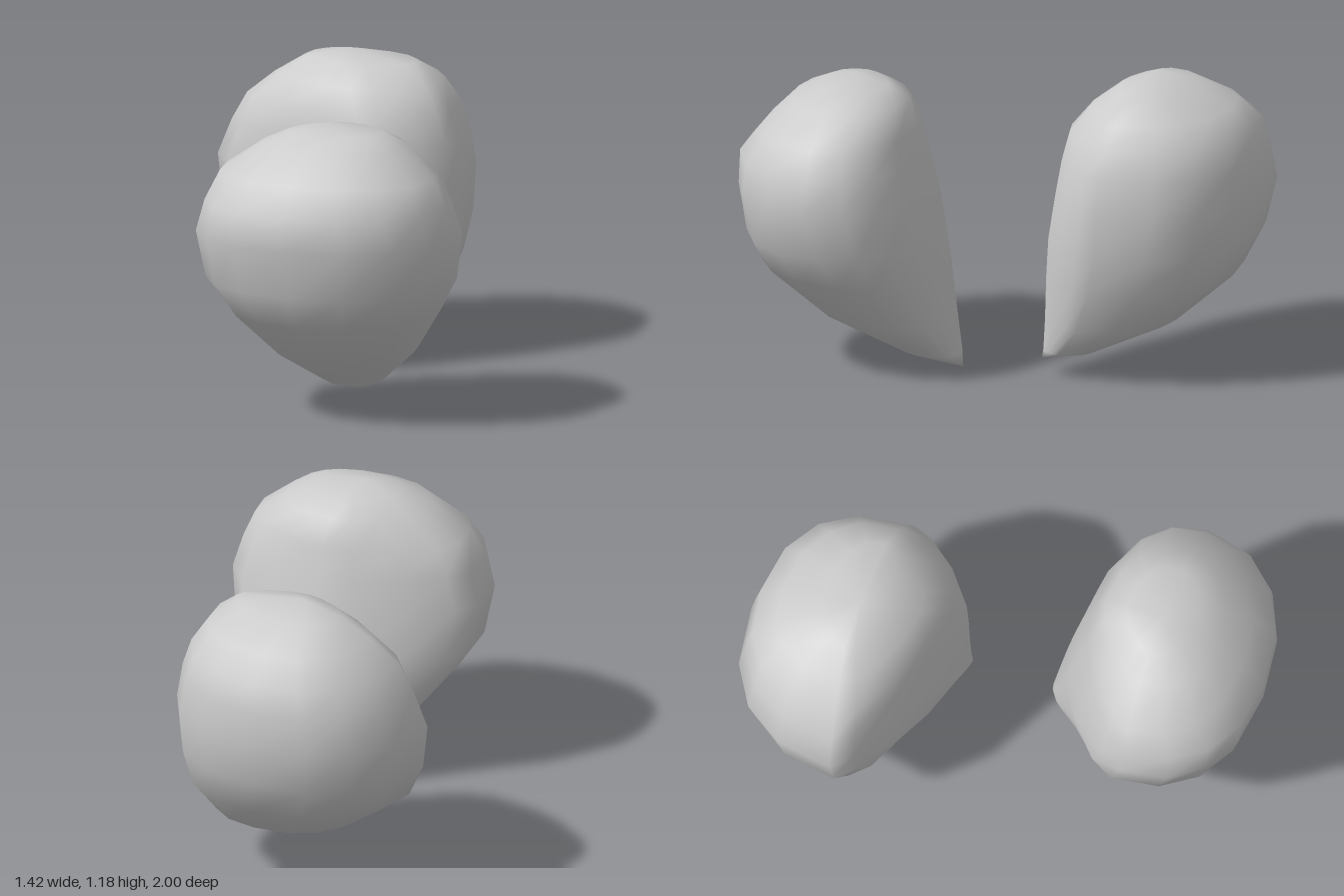
import * as THREE from 'three';

const SIDES = 16;

// Lofts a closed body from level rings.
// Ring: [y, xMin, xMax, zMin, zMax, z of widest point, x of back point, x of front point]
// round: corner exponents [front-left, front-right, back-right, back-left]
function loft(name, bottom, rings, top, round, material) {
  const pos = [...bottom];
  for (const [y, x0, x1, z0, z1, zm, xb, xf] of rings) {
    for (let j = 0; j < SIDES; j++) {
      const t = (j / SIDES) * Math.PI * 2;
      const c = Math.cos(t), s = Math.sin(t);
      const quarter = Math.floor(j / (SIDES / 4));
      const e = 2 / round[quarter];
      const xm = s > 0 ? xf : xb;
      const u = Math.abs(c) < 1e-6 ? 0 : Math.abs(c) ** e;
      const v = Math.abs(s) < 1e-6 ? 0 : Math.abs(s) ** e;
      pos.push(xm + ((c > 0 ? x1 : x0) - xm) * u, y, zm + ((s > 0 ? z1 : z0) - zm) * v);
    }
  }
  pos.push(...top);

  const last = pos.length / 3 - 1;
  const at = (i, j) => 1 + i * SIDES + (j % SIDES);
  const index = [];
  for (let j = 0; j < SIDES; j++) {
    index.push(0, at(0, j), at(0, j + 1));
    for (let i = 0; i < rings.length - 1; i++) {
      const a = at(i, j), b = at(i, j + 1), c = at(i + 1, j), d = at(i + 1, j + 1);
      index.push(a, c, b, b, c, d);
    }
    index.push(at(rings.length - 1, j), last, at(rings.length - 1, j + 1));
  }

  const geometry = new THREE.BufferGeometry();
  geometry.setAttribute('position', new THREE.Float32BufferAttribute(pos, 3));
  geometry.setIndex(index);
  geometry.computeVertexNormals();
  const mesh = new THREE.Mesh(geometry, material);
  mesh.name = name;
  return mesh;
}

export function createModel() {
  const group = new THREE.Group();
  group.name = 'lobePair';
  const grey = new THREE.MeshStandardMaterial({ color: 0xcccccc });

  // Front lobe: tapers to a tip at its lower back
  group.add(loft('frontLobe', [0.14, 0, 0.125], [
    [0.06, 0.04, 0.26, 0.13, 0.36, 0.22, 0.14, 0.16],
    [0.22, -0.09, 0.45, 0.15, 0.68, 0.37, 0.15, 0.17],
    [0.41, -0.23, 0.59, 0.175, 0.91, 0.48, 0.17, 0.17],
    [0.54, -0.315, 0.67, 0.195, 0.97, 0.53, 0.19, 0.16],
    [0.73, -0.34, 0.71, 0.23, 1.0, 0.58, 0.2, 0.14],
    [0.86, -0.3, 0.67, 0.265, 1.0, 0.58, 0.2, 0.14],
    [0.97, -0.25, 0.62, 0.29, 0.91, 0.58, 0.2, 0.15],
    [1.08, -0.09, 0.48, 0.33, 0.8, 0.57, 0.18, 0.16],
    [1.13, 0.02, 0.39, 0.42, 0.69, 0.57, 0.18, 0.16],
  ], [0.16, 1.16, 0.57], [2.2, 2.3, 1.5, 2.3], grey));

  // Rear lobe: tapers to a tip at its lower front
  group.add(loft('rearLobe', [0.12, 0.065, -0.195], [
    [0.1, -0.06, 0.17, -0.4, -0.197, -0.28, 0.05, 0.11],
    [0.225, -0.37, 0.235, -0.69, -0.2, -0.38, -0.05, 0.1],
    [0.4, -0.61, 0.285, -0.89, -0.205, -0.45, -0.14, 0.1],
    [0.55, -0.69, 0.31, -0.96, -0.21, -0.48, -0.18, 0.09],
    [0.73, -0.715, 0.315, -1.0, -0.23, -0.49, -0.2, 0.06],
    [0.87, -0.66, 0.29, -0.98, -0.245, -0.5, -0.2, 0.02],
    [0.98, -0.6, 0.25, -0.96, -0.26, -0.51, -0.2, -0.04],
    [1.07, -0.49, 0.19, -0.87, -0.33, -0.53, -0.2, -0.1],
    [1.145, -0.37, 0.09, -0.71, -0.43, -0.55, -0.2, -0.15],
  ], [-0.19, 1.185, -0.55], [1.6, 1.55, 2.4, 2.3], grey));

  return group;
}
